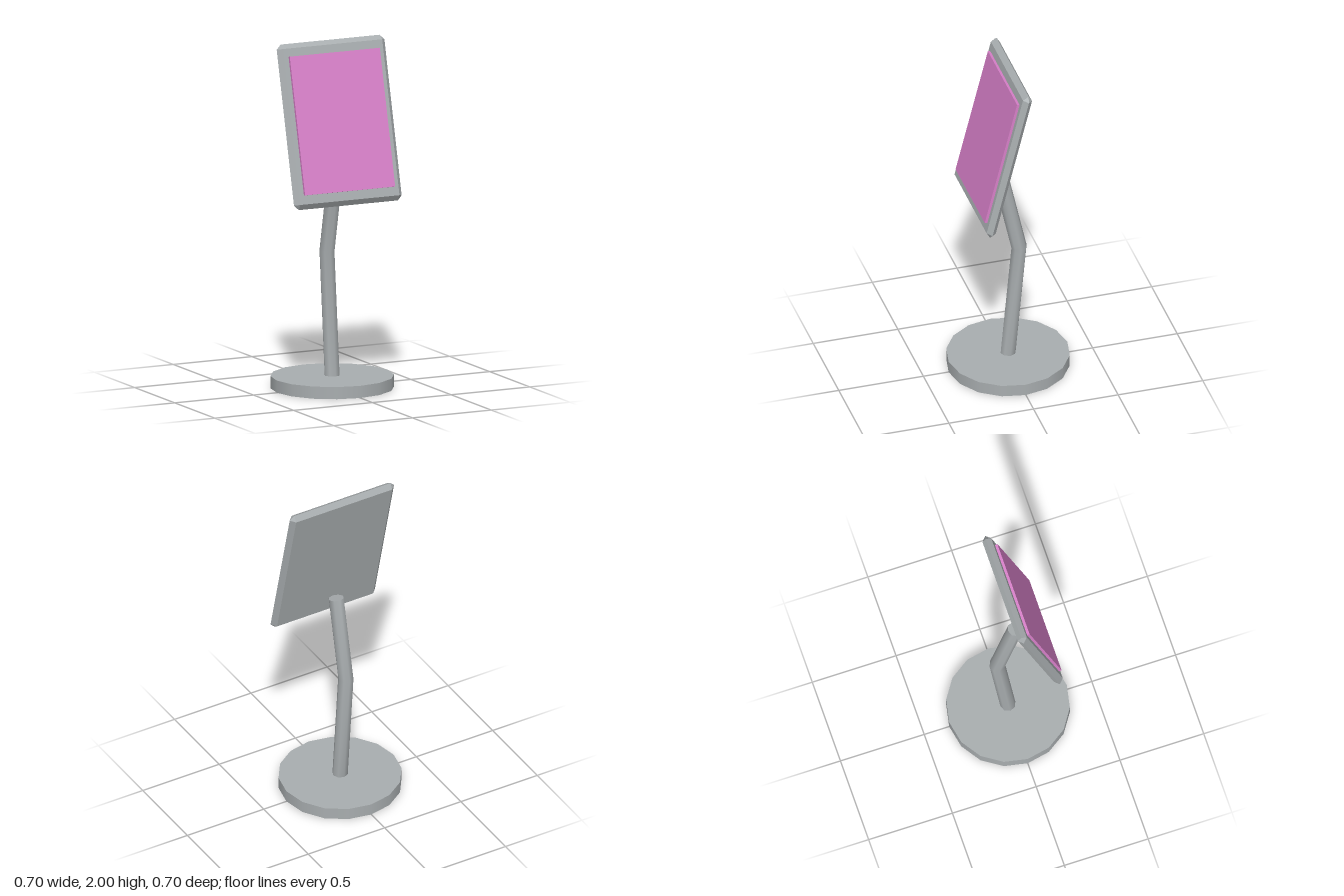
import * as THREE from 'three';
import { toCreasedNormals } from 'three/addons/utils/BufferGeometryUtils.js';
import { ConvexGeometry } from 'three/addons/geometries/ConvexGeometry.js';

const metal = new THREE.MeshStandardMaterial({ color: 0xa8adaf });
metal.name = 'grey metal';
const pink = new THREE.MeshStandardMaterial({ color: 0xd880c9 });
pink.name = 'pink display';

function addPart(parent, name, geometry, material) {
  const mesh = new THREE.Mesh(geometry, material);
  mesh.name = name;
  parent.add(mesh);
  return mesh;
}

// Thin slab whose front and back chamfers meet in a ridge round the rim
function ridgedSlab(halfW, halfH, halfD) {
  const points = [];
  const w = halfW - halfD, h = halfH - halfD;
  for (const sx of [-1, 1]) for (const sy of [-1, 1]) {
    points.push(
      new THREE.Vector3(sx * w, sy * h, halfD),
      new THREE.Vector3(sx * w, sy * h, -halfD),
      new THREE.Vector3(sx * halfW, sy * h, 0),
      new THREE.Vector3(sx * w, sy * halfH, 0));
  }
  return new ConvexGeometry(points);
}

// Eight-sided tube along three points in the yz plane, with a mitred elbow
function bentPole(radius, path) {
  const lean = (a, b) => Math.atan2(b.z - a.z, b.y - a.y);
  const low = lean(path[0], path[1]), high = lean(path[1], path[2]);
  const angles = [low, (low + high) / 2, high];
  const stretch = [1, 1 / Math.cos((high - low) / 2), 1];
  const geometry = new THREE.CylinderGeometry(radius, radius, 2, 8, 2);
  const pos = geometry.attributes.position;
  for (let i = 0; i < pos.count; i++) {
    const k = Math.round(pos.getY(i)) + 1;
    const d = pos.getZ(i) * stretch[k];
    pos.setXYZ(i, pos.getX(i),
      path[k].y - d * Math.sin(angles[k]),
      path[k].z + d * Math.cos(angles[k]));
  }
  return toCreasedNormals(geometry, 1);
}

export function createModel() {
  const model = new THREE.Group();
  model.name = 'displayStand';

  // Round foot
  addPart(model, 'base', new THREE.CylinderGeometry(0.351, 0.351, 0.07, 16), metal)
    .position.y = 0.035;

  // Bent support
  addPart(model, 'pole', bentPole(0.0445, [
    { y: 0.06, z: 0 }, { y: 0.775, z: -0.065 }, { y: 1.267, z: 0.043 },
  ]), metal);

  // Tilted head with its raised display
  const head = new THREE.Group();
  head.name = 'head';
  head.position.set(0, 1.5425, 0.087);
  head.rotation.x = -THREE.MathUtils.degToRad(14);
  addPart(head, 'frame', ridgedSlab(0.342, 0.4715, 0.0275), metal);
  addPart(head, 'display', new THREE.BoxGeometry(0.572, 0.79, 0.023), pink)
    .position.set(0, 0.002, 0.0315);
  model.add(head);

  return model;
}
